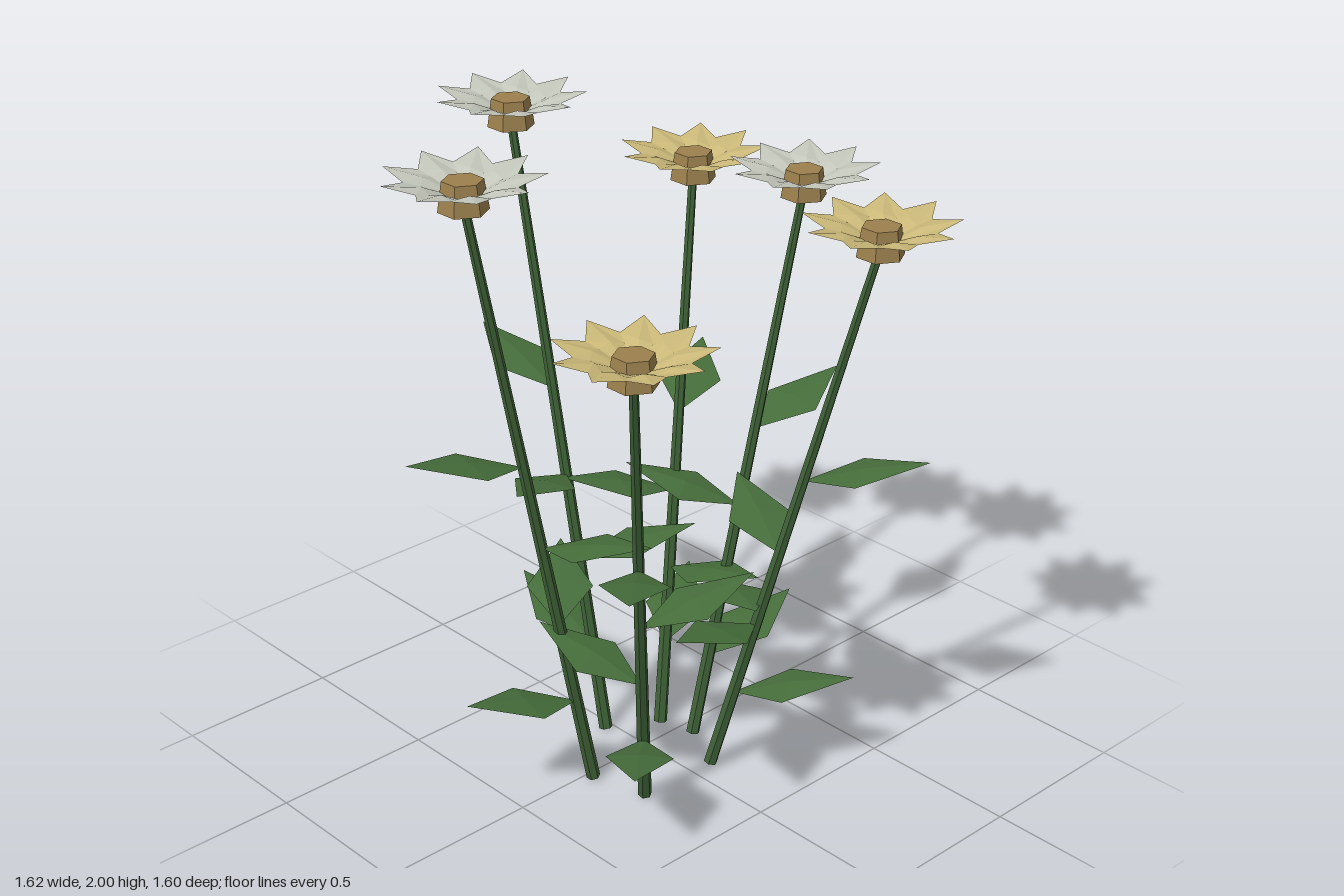
import * as THREE from 'three';

const mat = (name, color) =>
  new THREE.MeshStandardMaterial({ name, color, flatShading: true, side: THREE.DoubleSide });

// Faceted surface from points and triangle indices
function faceted(points, index) {
  const g = new THREE.BufferGeometry();
  g.setAttribute('position', new THREE.Float32BufferAttribute(points.flat(), 3));
  g.setIndex(index);
  const flat = g.toNonIndexed();
  flat.computeVertexNormals();
  return flat;
}

// Diamond leaf with a raised midrib, pointing along +z
function leafGeometry() {
  const points = [
    [0, 0, 0], [0, 0.058, 0.17], [0, 0.095, 0.36],
    [0.098, 0.042, 0.16], [-0.098, 0.042, 0.16],
  ];
  return faceted(points, [0, 1, 3, 1, 2, 3, 0, 4, 1, 1, 4, 2]);
}

// Nine pointed petals: rings alternate between petal ridge and valley
function petalGeometry() {
  const petals = 9, n = petals * 2;
  const rings = [ // [ridge radius, ridge y, valley radius, valley y]
    [0.05, 0.052, 0.05, 0.05],
    [0.11, 0.08, 0.11, 0.07],
    [0.224, 0.099, 0.155, 0.081],
  ];
  const points = [], index = [];
  rings.forEach(([rr, ry, vr, vy], j) => {
    for (let i = 0; i < n; i++) {
      const a = (i / n) * Math.PI * 2;
      const r = i % 2 ? vr : rr;
      points.push([r * Math.cos(a), i % 2 ? vy : ry, r * Math.sin(a)]);
      if (j === 0) continue;
      const k = (i + 1) % n, lo = (j - 1) * n, hi = j * n;
      index.push(lo + i, lo + k, hi + i, lo + k, hi + k, hi + i);
    }
  });
  return faceted(points, index);
}

export function createModel() {
  const model = new THREE.Group();
  model.name = 'flowers';

  const stemGreen = mat('stem green', 0x3d6036);
  const leafGreen = mat('leaf green', 0x466d3b);
  const white = mat('petal white', 0xc3c6ba);
  const yellow = mat('petal yellow', 0xcab878);
  const brown = mat('centre brown', 0x9c804e);

  const leafGeo = leafGeometry();
  const petalGeo = petalGeometry();
  const centreGeo = new THREE.CylinderGeometry(0.057, 0.07, 0.085, 6);
  centreGeo.translate(0, 0.0425, 0);

  // [base x, base z, head x, head z, head underside y, petal colour]
  const flowers = [
    [-0.03, -0.15, 0.005, -0.58, 1.865, white],
    [0.12, -0.06, 0.475, -0.30, 1.66, yellow],
    [0.15, 0.055, 0.583, 0.053, 1.672, white],
    [0.075, 0.21, 0.333, 0.577, 1.706, yellow],
    [-0.19, 0.20, -0.513, 0.503, 1.56, yellow],
    [-0.24, 0.025, -0.602, -0.053, 1.902, white],
  ];

  for (const [bx, bz, hx, hz, hy, petalMat] of flowers) {
    const flower = new THREE.Group();
    flower.name = 'flower';
    const add = (name, geo, material) => {
      const m = new THREE.Mesh(geo, material);
      m.name = name;
      flower.add(m);
      return m;
    };

    // Straight leaning stem
    const base = new THREE.Vector3(bx, 0.008, bz);
    const top = new THREE.Vector3(hx, hy + 0.02, hz);
    const along = top.clone().sub(base);
    const stem = add('stem', new THREE.CylinderGeometry(0.013, 0.021, along.length(), 6), stemGreen);
    stem.position.copy(base).lerp(top, 0.5);
    stem.quaternion.setFromUnitVectors(new THREE.Vector3(0, 1, 0), along.clone().normalize());

    // Head
    add('centre', centreGeo, brown).position.set(hx, hy, hz);
    add('petals', petalGeo, petalMat).position.set(hx, hy, hz);

    // Four leaves spiralling up the stem, starting outward
    const outward = Math.atan2(along.x, along.z);
    for (let k = 0; k < 4; k++) {
      const leaf = add('leaf', leafGeo, leafGreen);
      leaf.position.copy(base).lerp(top, 0.15 + k * 0.142);
      leaf.rotation.y = outward - (k * Math.PI * 2) / 3;
    }
    model.add(flower);
  }
  return model;
}
